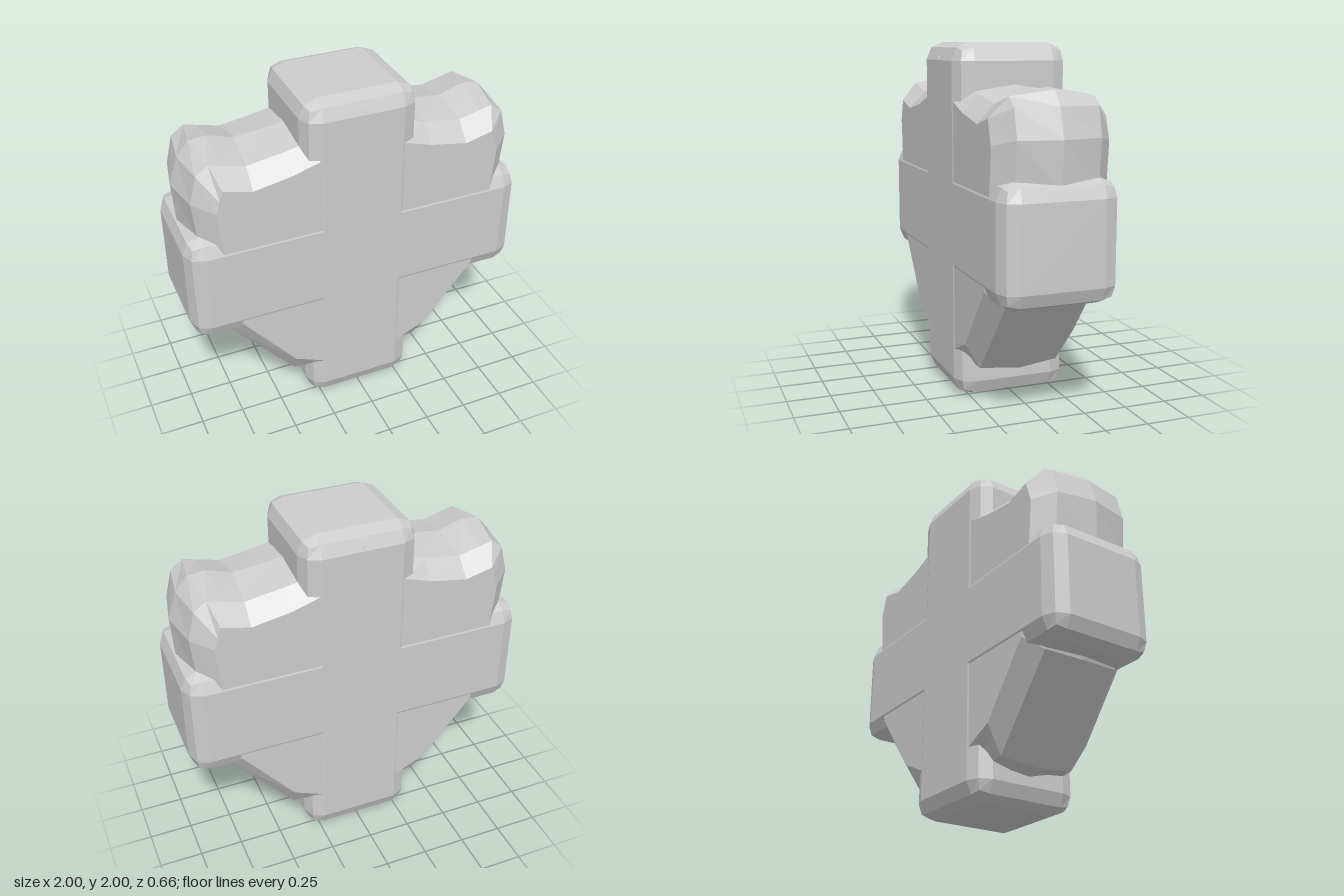
import * as THREE from 'three';
import { RoundedBoxGeometry } from 'three/addons/geometries/RoundedBoxGeometry.js';

// Right-half outlines from top centre to bottom centre, each at its own depth
const FACE = [[0, 1.74], [0.24, 1.68], [0.40, 1.63], [0.62, 1.59], [0.72, 1.615], [0.78, 1.63], [0.80, 1.57],
  [0.822, 1.50], [0.80, 1.24], [0.76, 1.0], [0.73, 0.77], [0.72, 0.73], [0.42, 0.36], [0.24, 0.28], [0, 0.2]];
const SHOULDER = [[0, 1.80], [0.26, 1.755], [0.40, 1.725], [0.62, 1.69], [0.74, 1.72], [0.82, 1.74], [0.89, 1.69],
  [0.93, 1.53], [0.905, 1.28], [0.86, 1.0], [0.82, 0.78], [0.79, 0.66], [0.40, 0.205], [0.26, 0.19], [0, 0.14]];
const RIM = [[0, 1.82], [0.26, 1.785], [0.41, 1.757], [0.61, 1.735], [0.755, 1.78], [0.855, 1.77], [0.925, 1.69],
  [0.975, 1.53], [0.96, 1.28], [0.91, 1.0], [0.85, 0.78], [0.81, 0.65], [0.41, 0.18], [0.26, 0.13], [0, 0.1]];

// Lofts the mirrored outlines from back to front and caps both ends
function bodyGeometry() {
  const close = (half) => [...half, ...half.slice(1, -1).reverse().map(([x, y]) => [-x, y])];
  const sections = [[FACE, -0.326], [SHOULDER, -0.23], [RIM, 0], [SHOULDER, 0.23], [FACE, 0.326]];
  const positions = [];
  for (const [half, z] of sections) for (const [x, y] of close(half)) positions.push(x, y, z);
  const n = close(FACE).length;
  const index = [];
  for (let s = 0; s < sections.length - 1; s++) {
    for (let i = 0; i < n; i++) {
      const a = s * n + i, b = s * n + (i + 1) % n;
      index.push(a, a + n, b, b, a + n, b + n);
    }
  }
  const back = positions.length / 3, front = back + 1, last = (sections.length - 1) * n;
  positions.push(0, 1, -0.326, 0, 1, 0.326);
  for (let i = 0; i < n; i++) {
    const j = (i + 1) % n;
    index.push(back, i, j, front, last + j, last + i);
  }
  const geometry = new THREE.BufferGeometry();
  geometry.setAttribute('position', new THREE.Float32BufferAttribute(positions, 3));
  geometry.setIndex(index);
  const flat = geometry.toNonIndexed();
  flat.computeVertexNormals();
  return flat;
}

export function createModel() {
  const model = new THREE.Group();
  model.name = 'crossBlock';
  const grey = new THREE.MeshStandardMaterial({ color: 0xcccccc, flatShading: true });
  grey.name = 'light grey';

  const add = (name, geometry, x, y, z) => {
    const mesh = new THREE.Mesh(geometry, grey);
    mesh.name = name;
    mesh.position.set(x, y, z);
    model.add(mesh);
    return mesh;
  };

  // Two crossing bars with two-facet rounded edges
  add('uprightBar', new RoundedBoxGeometry(0.66, 2, 0.66, 1, 0.1), 0, 1, 0);
  add('crossBar', new RoundedBoxGeometry(2, 0.66, 0.66, 1, 0.1), 0, 1, 0);

  // Bulging body that fills the four corners
  add('cornerBody', bodyGeometry(), 0, 0, 0);

  // Small ridge on top and a tiny point on the front and back
  add('topRidge', new THREE.BoxGeometry(0.004, 0.01, 0.1), 0, 1.9955, 0);
  for (const side of [1, -1]) {
    add(side > 0 ? 'frontPoint' : 'backPoint', new THREE.ConeGeometry(0.012, 0.022, 4), 0, 1.918, side * 0.32);
  }
  return model;
}
